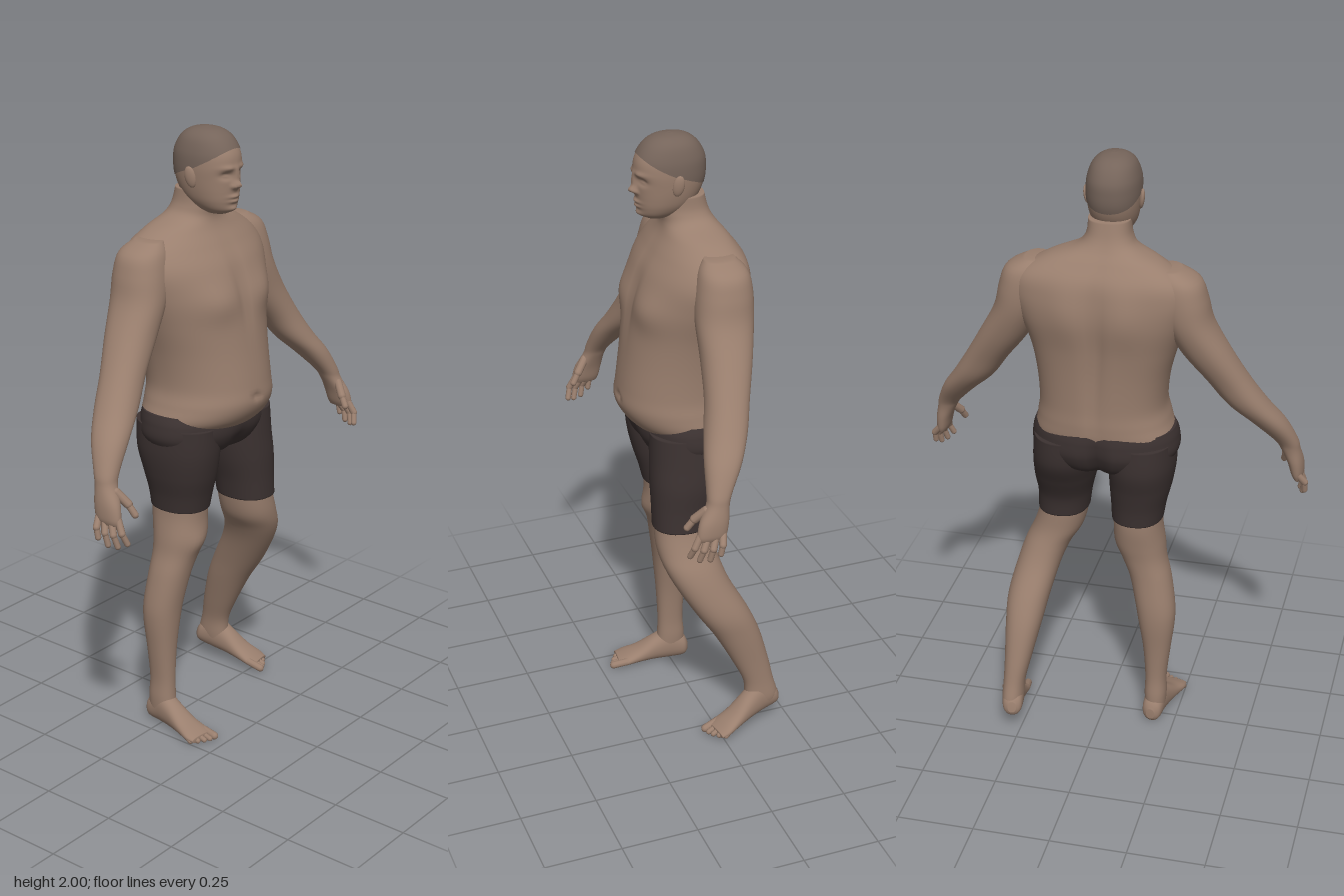
import * as THREE from 'three';

const mat = (name, color) => Object.assign(new THREE.MeshStandardMaterial({ color }), { name });
const cubic = (a, b, c, d, t) =>
  b + 0.5 * t * (c - a + t * (2 * a - 5 * b + 4 * c - d + t * (3 * (b - c) + d - a)));

// A cross-section is [y, centre x, half width, back z, front z], listed from top to bottom
function section(rings, t) {
  const n = rings.length - 1, f = Math.min(t * n, n - 1e-6), i = Math.floor(f);
  const at = k => rings[Math.max(0, Math.min(n, k))];
  return at(0).map((_, k) => cubic(at(i - 1)[k], at(i)[k], at(i + 1)[k], at(i + 2)[k], f - i));
}

// Smooth closed skin through the sections; bumps are [x, y, height, x spread, y spread, side]
function loft(rings, { seg = 36, rows = 48, power = 2.2, grow = 0, bumps = [], endY, skew = 0 } = {}) {
  const pos = [], idx = [], ends = [];
  const sgnPow = v => Math.sign(v) * Math.abs(v) ** (2 / power);
  for (let j = 0; j < seg; j++) {
    let end = 1;
    if (endY) while (section(rings, end)[0] < endY(Math.sin(j / seg * Math.PI * 2))) end -= 0.002;
    ends.push(end);
  }
  for (let i = 0; i <= rows; i++) for (let j = 0; j < seg; j++) {
    const a = j / seg * Math.PI * 2, s = Math.sin(a), c = Math.cos(a);
    const [y, cx, hw, zb, zf] = section(rings, i / rows * ends[j]);
    const x = (hw + grow) * sgnPow(c);
    let z = (zb + zf) / 2 + ((zf - zb) / 2 + grow) * sgnPow(s) - skew * c * c * hw;
    for (const [bx, by, h, sx, sy, side] of bumps) if (s * side > 0)
      z += side * h * Math.min(1, Math.abs(s) * 1.5) * Math.exp(-(((x - bx) / sx) ** 2) - ((y - by) / sy) ** 2);
    pos.push(cx + x, y + (endY ? grow : 0), z);
  }
  for (let i = 0; i < rows; i++) for (let j = 0; j < seg; j++) {
    const k = (j + 1) % seg, a = i * seg + j, b = i * seg + k;
    idx.push(a, b, a + seg, b, b + seg, a + seg);
  }
  for (const r of [0, rows]) {
    const [y, cx, , zb, zf] = section(rings, r / rows);
    if (r && endY) continue;
    const centre = pos.length / 3;
    pos.push(cx, y, (zb + zf) / 2);
    for (let j = 0; j < seg; j++) {
      const a = r * seg + j, b = r * seg + (j + 1) % seg;
      idx.push(centre, r ? a : b, r ? b : a);
    }
  }
  const g = new THREE.BufferGeometry();
  g.setAttribute('position', new THREE.Float32BufferAttribute(pos, 3));
  g.setIndex(idx);
  g.computeVertexNormals();
  return g;
}

function add(parent, name, geo, material) {
  const m = new THREE.Mesh(geo, material);
  m.name = name;
  parent.add(m);
  return m;
}

// Rounded bar between two points
function bar(parent, name, p, q, r, material) {
  const a = new THREE.Vector3(...p), b = new THREE.Vector3(...q), d = b.clone().sub(a);
  const m = add(parent, name, new THREE.CapsuleGeometry(r, d.length(), 5, 10), material);
  m.position.copy(a).add(b).multiplyScalar(0.5);
  m.quaternion.setFromUnitVectors(new THREE.Vector3(0, 1, 0), d.normalize());
}

export function createModel() {
  const skin = mat('skin', 0x9a7f6e), hair = mat('croppedHair', 0x75645a), cloth = mat('shortsCloth', 0x3c3231);
  const body = new THREE.Group();
  body.name = 'standingMan';
  const both = f => [-1, 1].flatMap(f);

  // Torso and neck, with chest, shoulder blades, spine groove and navel
  add(body, 'torso', loft([
    [1.81, -0.015, 0.066, -0.055, 0.085], [1.76, -0.015, 0.072, -0.068, 0.085], [1.725, -0.012, 0.1, -0.085, 0.08],
    [1.69, -0.005, 0.185, -0.11, 0.09], [1.64, 0, 0.262, -0.14, 0.12], [1.58, 0, 0.285, -0.152, 0.155],
    [1.5, 0, 0.268, -0.157, 0.18], [1.4, 0, 0.235, -0.148, 0.2], [1.3, 0.005, 0.213, -0.14, 0.215],
    [1.2, 0.008, 0.205, -0.135, 0.23], [1.14, 0.005, 0.215, -0.135, 0.235], [1.09, 0, 0.224, -0.13, 0.212],
    [1.05, 0, 0.205, -0.11, 0.17],
  ], { seg: 72, rows: 80, skew: 0.12, bumps: [
    ...both(s => [[s * 0.11, 1.48, 0.018, 0.075, 0.06, 1], [s * 0.09, 1.54, 0.012, 0.06, 0.1, -1]]),
    [0, 1.5, -0.012, 0.022, 0.11, 1], [0, 1.39, -0.018, 0.025, 0.24, -1], [0, 1.16, -0.012, 0.014, 0.012, 1],
  ] }), skin);

  // Head with modelled face
  const skull = [
    [2, -0.018, 0.004, 0.046, 0.054], [1.992, -0.018, 0.038, 0, 0.098], [1.97, -0.018, 0.064, -0.033, 0.132],
    [1.93, -0.018, 0.079, -0.056, 0.158], [1.89, -0.018, 0.083, -0.06, 0.164], [1.85, -0.018, 0.081, -0.056, 0.16],
    [1.81, -0.018, 0.075, -0.04, 0.158], [1.78, -0.018, 0.066, -0.015, 0.155], [1.755, -0.018, 0.05, 0.02, 0.147],
    [1.74, -0.018, 0.028, 0.05, 0.125],
  ];
  add(body, 'head', loft(skull, { seg: 96, rows: 90, bumps: [
    [0, 1.834, 0.02, 0.013, 0.012, 1], [0, 1.86, 0.013, 0.009, 0.026, 1],
    [0, 1.798, 0.008, 0.022, 0.006, 1], [0, 1.783, 0.008, 0.02, 0.006, 1], [0, 1.757, 0.009, 0.022, 0.011, 1],
    ...both(s => [[s * 0.033, 1.866, -0.013, 0.018, 0.011, 1], [s * 0.033, 1.864, 0.006, 0.011, 0.005, 1],
      [s * 0.032, 1.889, 0.006, 0.022, 0.008, 1], [s * 0.014, 1.83, 0.007, 0.006, 0.006, 1]]),
  ] }), skin);
  add(body, 'hairCap', loft(skull, { seg: 96, rows: 40, grow: 0.002,
    endY: s => 1.88 + (s > 0 ? 0.062 : 0.045) * s }), hair);
  both(s => {
    const ear = add(body, s < 0 ? 'rightEar' : 'leftEar', new THREE.SphereGeometry(1, 18, 14), skin);
    ear.scale.set(0.009, 0.034, 0.018);
    ear.position.set(-0.018 + s * 0.085, 1.858, 0.052);
    ear.rotation.set(-0.2, s * -0.3, s * -0.15);
    return [];
  });

  // Shorts: seat and two legs
  add(body, 'shortsSeat', loft([
    [1.112, 0, 0.228, -0.134, 0.17], [1.08, 0, 0.238, -0.139, 0.184], [1.03, 0, 0.238, -0.137, 0.18],
    [0.98, 0.002, 0.2, -0.11, 0.15], [0.95, 0.005, 0.12, -0.06, 0.1],
  ], { seg: 60, bumps: [[0, 1.0, -0.03, 0.025, 0.09, -1], [0, 0.99, -0.015, 0.03, 0.05, 1]] }), cloth);
  add(body, 'rightShortsLeg', loft([
    [1.07, -0.125, 0.105, -0.125, 0.165], [0.98, -0.122, 0.108, -0.125, 0.16], [0.9, -0.117, 0.101, -0.105, 0.145],
    [0.83, -0.111, 0.09, -0.09, 0.125], [0.775, -0.108, 0.084, -0.084, 0.112],
  ]), cloth);
  add(body, 'leftShortsLeg', loft([
    [1.07, 0.125, 0.108, -0.125, 0.17], [0.98, 0.132, 0.108, -0.115, 0.172], [0.9, 0.142, 0.102, -0.075, 0.175],
    [0.82, 0.15, 0.089, -0.035, 0.174], [0.75, 0.156, 0.084, -0.023, 0.174],
  ]), cloth);

  // Legs: the right stands straight, the left trails from a bent knee
  add(body, 'rightLeg', loft([
    [0.82, -0.108, 0.08, -0.08, 0.11], [0.75, -0.11, 0.08, -0.078, 0.105], [0.68, -0.116, 0.083, -0.068, 0.105],
    [0.62, -0.132, 0.074, -0.06, 0.09], [0.55, -0.155, 0.069, -0.06, 0.075], [0.45, -0.174, 0.066, -0.067, 0.058],
    [0.38, -0.18, 0.06, -0.066, 0.05], [0.28, -0.182, 0.046, -0.056, 0.042], [0.17, -0.18, 0.036, -0.05, 0.038],
    [0.1, -0.18, 0.037, -0.055, 0.04], [0.05, -0.18, 0.034, -0.055, 0.045],
  ], { bumps: [[-0.01, 0.66, 0.01, 0.04, 0.04, 1]] }), skin);
  add(body, 'leftLeg', loft([
    [0.82, 0.15, 0.08, -0.02, 0.165], [0.75, 0.156, 0.08, -0.02, 0.168], [0.68, 0.175, 0.082, -0.02, 0.168],
    [0.62, 0.207, 0.077, -0.032, 0.155], [0.55, 0.232, 0.073, -0.058, 0.122], [0.45, 0.255, 0.07, -0.112, 0.062],
    [0.36, 0.263, 0.06, -0.15, 0.002], [0.25, 0.272, 0.045, -0.18, -0.058], [0.17, 0.28, 0.036, -0.197, -0.095],
    [0.11, 0.283, 0.036, -0.213, -0.1], [0.08, 0.283, 0.032, -0.21, -0.1],
  ]), skin);

  // Feet, swept from heel to ball, with five toes
  both(s => {
    const foot = new THREE.Group();
    foot.name = s < 0 ? 'rightFoot' : 'leftFoot';
    add(foot, 'sole', loft([
      [0.067, 0, 0.014, 0.018, 0.055], [0.05, 0, 0.032, 0.003, 0.085], [0, 0, 0.036, 0, 0.115],
      [-0.05, s * 0.003, 0.037, 0, 0.092], [-0.11, s * 0.006, 0.043, 0, 0.055], [-0.155, s * 0.008, 0.049, 0, 0.036],
      [-0.185, s * 0.008, 0.044, 0.003, 0.024],
    ]).rotateX(-Math.PI / 2), skin);
    for (let i = 0; i < 5; i++) {
      const x = s * (-0.028 + i * 0.019), tip = 0.205 - i * i * 0.0022, r = i ? 0.009 : 0.013;
      bar(foot, 'toe', [x, 0.018, 0.155], [x, r, tip], r, skin);
    }
    foot.position.set(s < 0 ? -0.18 : 0.283, s < 0 ? 0 : 0.045, s < 0 ? 0 : -0.16);
    foot.rotation.set(s < 0 ? 0 : 0.2, s < 0 ? -0.1 : 0.17, 0, 'YXZ');
    body.add(foot);
    return [];
  });

  // Arms and hands; the right arm reaches a little lower and wider
  both(s => {
    const side = s < 0 ? 'right' : 'left';
    const place = ([x, y, z]) => {
      const drop = s < 0 ? Math.max(0, 1.3 - y) : 0;
      return [s * (x + Math.min(drop, 0.2) * 0.09), y - drop * 0.08, z];
    };
    const rings = [
      [1.675, 0.21, 0.035, -0.07, 0.025], [1.64, 0.236, 0.07, -0.1, 0.05], [1.58, 0.25, 0.08, -0.11, 0.065],
      [1.5, 0.272, 0.078, -0.105, 0.074], [1.4, 0.325, 0.079, -0.08, 0.077], [1.3, 0.392, 0.07, -0.045, 0.09],
      [1.22, 0.445, 0.067, -0.018, 0.112], [1.15, 0.505, 0.055, 0.022, 0.135], [1.08, 0.553, 0.038, 0.07, 0.148],
      [1.045, 0.568, 0.031, 0.084, 0.155], [1, 0.583, 0.026, 0.09, 0.182], [0.96, 0.59, 0.021, 0.098, 0.192],
      [0.942, 0.592, 0.014, 0.106, 0.188],
    ].map(([y, x, hw, zb, zf]) => {
      const p = place([x, y, 0]);
      return [p[1], p[0], hw, zb, zf];
    });
    add(body, side + 'Arm', loft(rings, { rows: 60 }), skin);
    const fingers = [
      [[0.588, 0.96, 0.182], [0.595, 0.925, 0.202], [0.582, 0.893, 0.212]],
      [[0.591, 0.955, 0.158], [0.605, 0.918, 0.177], [0.597, 0.883, 0.187]],
      [[0.593, 0.955, 0.134], [0.612, 0.92, 0.15], [0.608, 0.885, 0.158]],
      [[0.594, 0.96, 0.112], [0.618, 0.932, 0.122], [0.618, 0.903, 0.128]],
      [[0.565, 1.03, 0.155], [0.545, 0.995, 0.185], [0.537, 0.965, 0.205]],
    ];
    fingers.forEach((f, i) => {
      const [a, b, c] = f.map(place), name = side + (i === 4 ? 'Thumb' : 'Finger');
      bar(body, name, a, b, i === 4 ? 0.014 : 0.0115, skin);
      bar(body, name + 'Tip', b, c, i === 4 ? 0.011 : 0.0095, skin);
    });
    return [];
  });
  return body;
}
